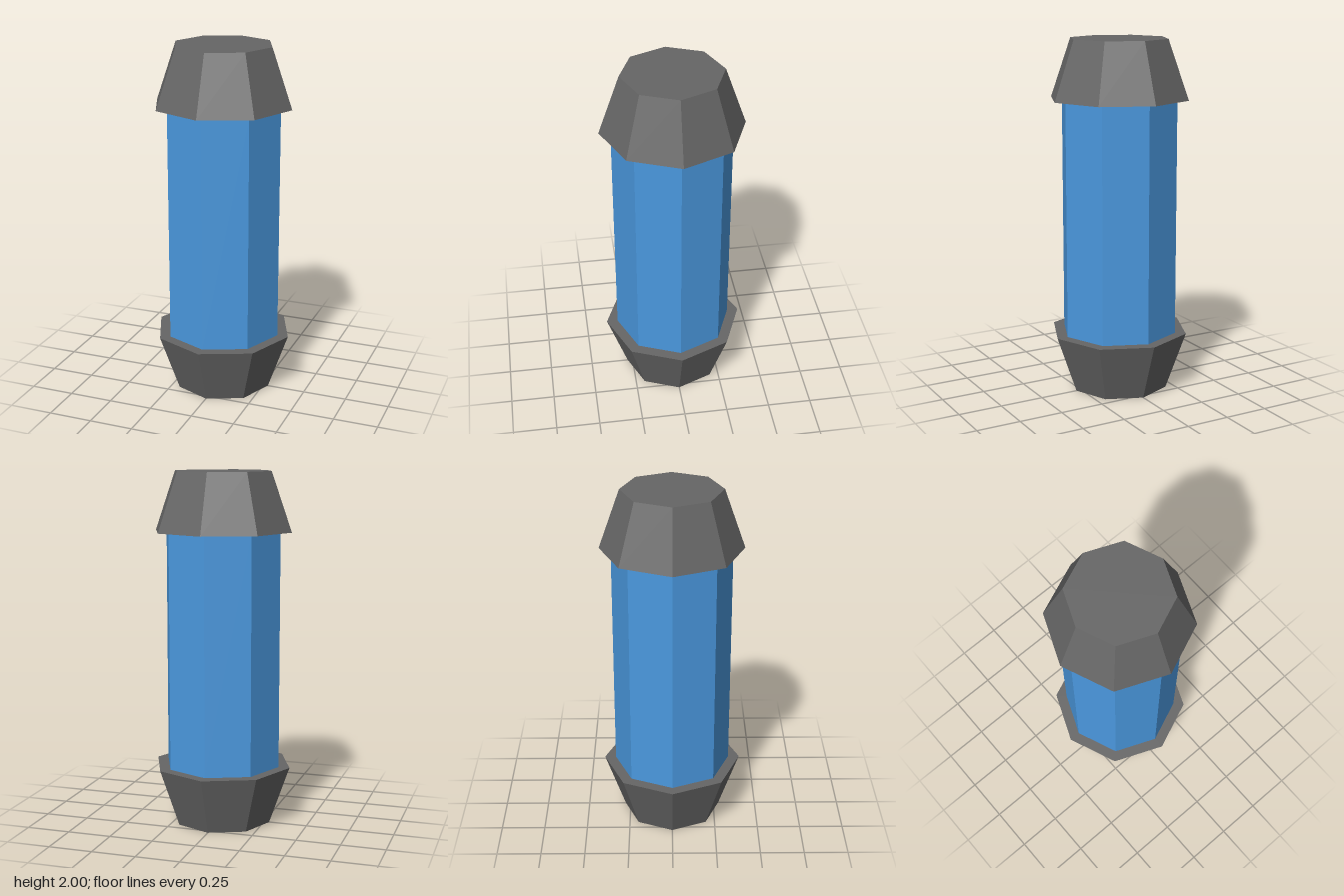
import * as THREE from 'three';

const SIDES = 8;

export function createModel() {
  const model = new THREE.Group();
  model.name = 'capsule';

  const capMaterial = new THREE.MeshStandardMaterial({ color: 0x666666, flatShading: true });
  const tubeMaterial = new THREE.MeshStandardMaterial({ color: 0x4a98de, flatShading: true });

  const addPrism = (name, radiusTop, radiusBottom, bottom, top, material) => {
    const geometry = new THREE.CylinderGeometry(radiusTop, radiusBottom, top - bottom, SIDES);
    const mesh = new THREE.Mesh(geometry, material);
    mesh.name = name;
    mesh.position.y = (bottom + top) / 2;
    model.add(mesh);
  };

  // Octagonal tube between two tapered caps that overhang it
  addPrism('bottomCap', 0.397, 0.28, 0, 0.333, capMaterial);
  addPrism('tube', 0.333, 0.333, 0.333, 1.667, tubeMaterial);
  addPrism('topCap', 0.28, 0.397, 1.667, 2, capMaterial);

  return model;
}
